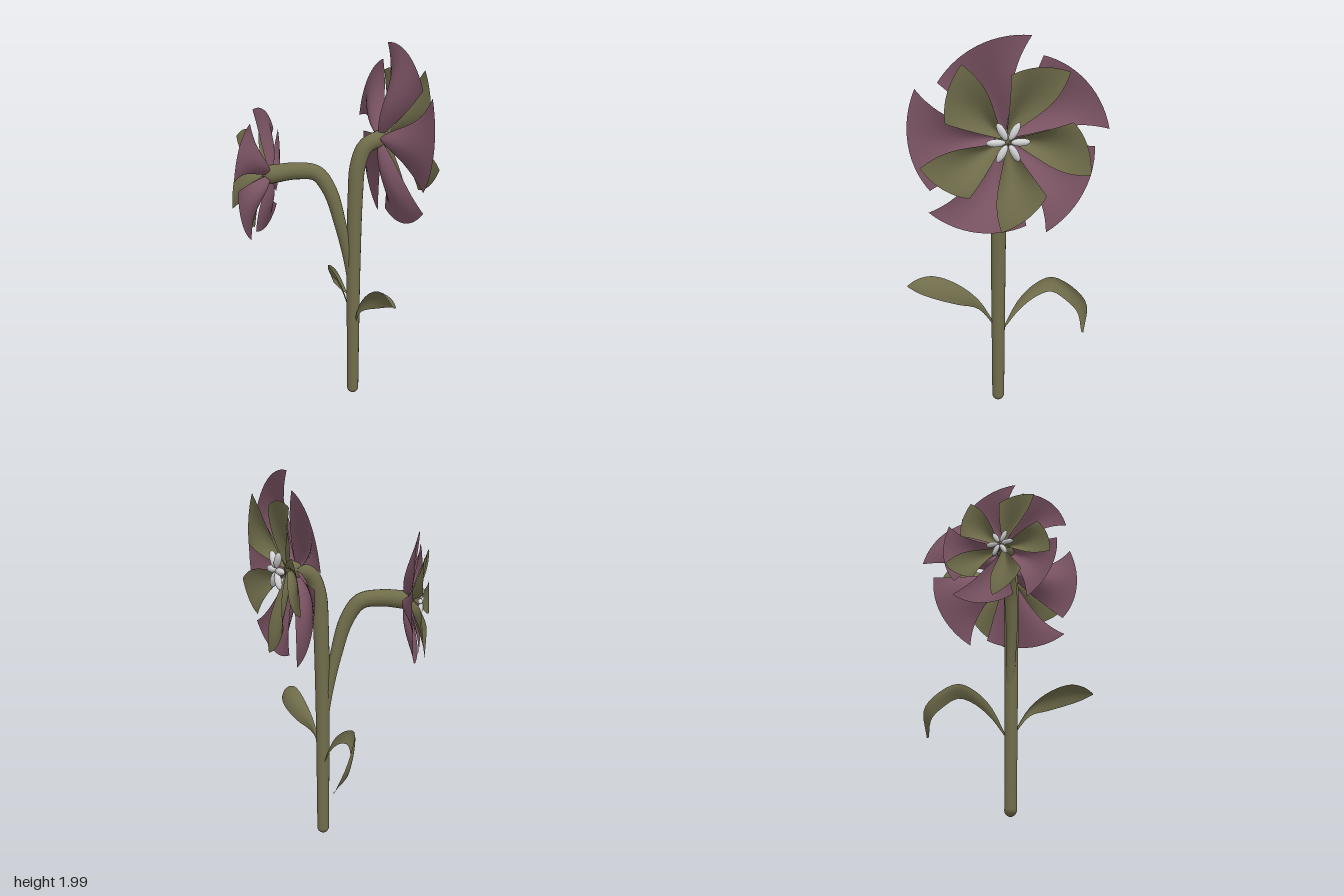
import * as THREE from 'three';

const mat = (name, color, side = THREE.FrontSide) => {
  const m = new THREE.MeshStandardMaterial({ color, side });
  m.name = name;
  return m;
};
const V = (p) => new THREE.Vector3(...p);
const rad = THREE.MathUtils.degToRad;

// Smooth grid surface from a rule fn(u, v) -> [x, y, z]
function surface(fn, nu, nv) {
  const pos = [], idx = [];
  for (let j = 0; j <= nv; j++)
    for (let i = 0; i <= nu; i++) pos.push(...fn(i / nu, j / nv));
  for (let j = 0; j < nv; j++)
    for (let i = 0; i < nu; i++) {
      const a = j * (nu + 1) + i, b = a + nu + 1;
      idx.push(a, a + 1, b, a + 1, b + 1, b);
    }
  const g = new THREE.BufferGeometry();
  g.setAttribute('position', new THREE.Float32BufferAttribute(pos, 3));
  g.setIndex(idx);
  g.computeVertexNormals();
  return g;
}

// Tube whose radius runs from r0 to r1
function taperedTube(points, r0, r1) {
  const curve = new THREE.CatmullRomCurve3(points.map(V));
  const n = 48, sides = 14;
  const g = new THREE.TubeGeometry(curve, n, 1, sides);
  const p = g.attributes.position, v = new THREE.Vector3();
  for (let i = 0; i <= n; i++) {
    const c = curve.getPointAt(i / n), r = r0 + (r1 - r0) * (i / n);
    for (let k = 0; k <= sides; k++) {
      const q = i * (sides + 1) + k;
      v.fromBufferAttribute(p, q).sub(c).multiplyScalar(r).add(c);
      p.setXYZ(q, v.x, v.y, v.z);
    }
  }
  return g;
}

// Pinwheel petal: long tip on the leading edge, bowed backwards between its edges
function petalGeometry({ tip, rTip, rTrail, span, sweep, z0, z1, bow }) {
  return surface((s, t) => {
    const lead = sweep * Math.sin(Math.PI * t);
    const a = rad(tip + lead + (span - lead) * s);
    const r = t * (rTip + (rTrail - rTip) * s);
    const z = z0 + (z1 - z0) * Math.sin(t * Math.PI / 2)
      - bow * Math.sin(Math.PI * Math.pow(t, 0.8)) * Math.sin(Math.PI * s);
    return [r * Math.cos(a), r * Math.sin(a), z];
  }, 14, 14);
}

// Leaf through two edge lines, with a raised middle rib
function leafGeometry(edgeA, edgeB, bulge) {
  const a = new THREE.CatmullRomCurve3(edgeA.map(V));
  const b = new THREE.CatmullRomCurve3(edgeB.map(V));
  return surface((s, t) => a.getPoint(t).lerp(b.getPoint(t), s)
    .addScaledVector(V(bulge), Math.sin(Math.PI * s) * Math.sin(Math.PI * t)).toArray(), 6, 20);
}

export function createModel() {
  const model = new THREE.Group();
  const green = mat('stem green', 0x706d4b);
  const leafGreen = mat('leaf green', 0x706d4b, THREE.DoubleSide);
  const mauve = mat('petal mauve', 0x7d5565, THREE.DoubleSide);
  const white = mat('stamen white', 0xd2d2d4);

  const add = (parent, name, geo, material) => {
    const m = new THREE.Mesh(geo, material);
    m.name = name;
    parent.add(m);
    return m;
  };
  const ball = (name, p, r) =>
    add(model, name, new THREE.SphereGeometry(r, 14, 10), green).position.set(...p);

  // Main stem and side branch with rounded ends
  const stem = [[0.21, 0.035, 0.015], [0.207, 0.4, 0.015], [0.205, 0.8, 0.015], [0.21, 1.2, 0.015],
    [0.222, 1.36, 0.015], [0.265, 1.46, 0.015], [0.36, 1.5, 0.015]];
  add(model, 'stem', taperedTube(stem, 0.033, 0.045), green);
  ball('stemFoot', stem[0], 0.033);
  ball('stemEnd', stem[6], 0.045);
  const branch = [[0.205, 0.62, 0.01], [0.175, 0.83, 0.005], [0.13, 1.03, 0], [0.075, 1.22, -0.02],
    [0.01, 1.315, -0.05], [-0.1, 1.33, -0.08], [-0.225, 1.315, -0.11]];
  add(model, 'branch', taperedTube(branch, 0.02, 0.05), green);
  ball('branchEnd', branch[6], 0.05);

  // Flower parts, shared by both blooms; each faces its own +z
  const outer = petalGeometry({ tip: 77, rTip: 0.505, rTrail: 0.435, span: 62, sweep: 7, z0: 0, z1: 0.085, bow: 0.06 });
  const inner = petalGeometry({ tip: 49, rTip: 0.435, rTrail: 0.32, span: 40, sweep: -8, z0: 0.05, z1: 0.145, bow: 0.045 });
  const stamen = new THREE.SphereGeometry(1, 12, 8).scale(0.048, 0.019, 0.019).translate(0.06, 0, 0.11);

  const flower = (name, position, facing, scale) => {
    const f = new THREE.Group();
    f.name = name;
    for (let i = 0; i < 5; i++) {
      add(f, 'outerPetal', outer, mauve).rotation.z = rad(72 * i);
      add(f, 'innerPetal', inner, leafGreen).rotation.z = rad(72 * i);
    }
    for (let i = 0; i < 6; i++) add(f, 'stamen', stamen, white).rotation.z = rad(60 * i);
    f.position.set(...position);
    f.rotation.y = facing;
    f.scale.setScalar(scale);
    model.add(f);
  };
  flower('largeFlower', [0.345, 1.5, 0.015], Math.PI / 2, 1);
  flower('smallFlower', [-0.231, 1.315, -0.115], Math.atan2(-0.816, -0.578), 0.72);

  // Front leaf, reaching towards +z
  add(model, 'frontLeaf', leafGeometry(
    [[0.205, 0.43, 0.02], [0.205, 0.6, 0.12], [0.21, 0.705, 0.24], [0.215, 0.757, 0.36], [0.22, 0.75, 0.44], [0.23, 0.72, 0.497]],
    [[0.212, 0.42, 0.02], [0.213, 0.55, 0.12], [0.27, 0.61, 0.24], [0.292, 0.66, 0.36], [0.275, 0.69, 0.44], [0.235, 0.715, 0.497]],
    [0.015, 0.012, 0]), leafGreen);

  // Back leaf, arching towards -z with its tip curling down and sideways
  add(model, 'backLeaf', leafGeometry(
    [[0.212, 0.43, -0.01], [0.195, 0.585, -0.1], [0.175, 0.665, -0.2], [0.165, 0.688, -0.29], [0.225, 0.645, -0.39], [0.29, 0.57, -0.45], [0.345, 0.43, -0.42]],
    [[0.215, 0.42, -0.01], [0.21, 0.53, -0.1], [0.203, 0.6, -0.2], [0.195, 0.615, -0.28], [0.22, 0.565, -0.36], [0.26, 0.51, -0.41], [0.34, 0.435, -0.41]],
    [-0.01, 0.005, -0.01]), leafGreen);

  return model;
}
